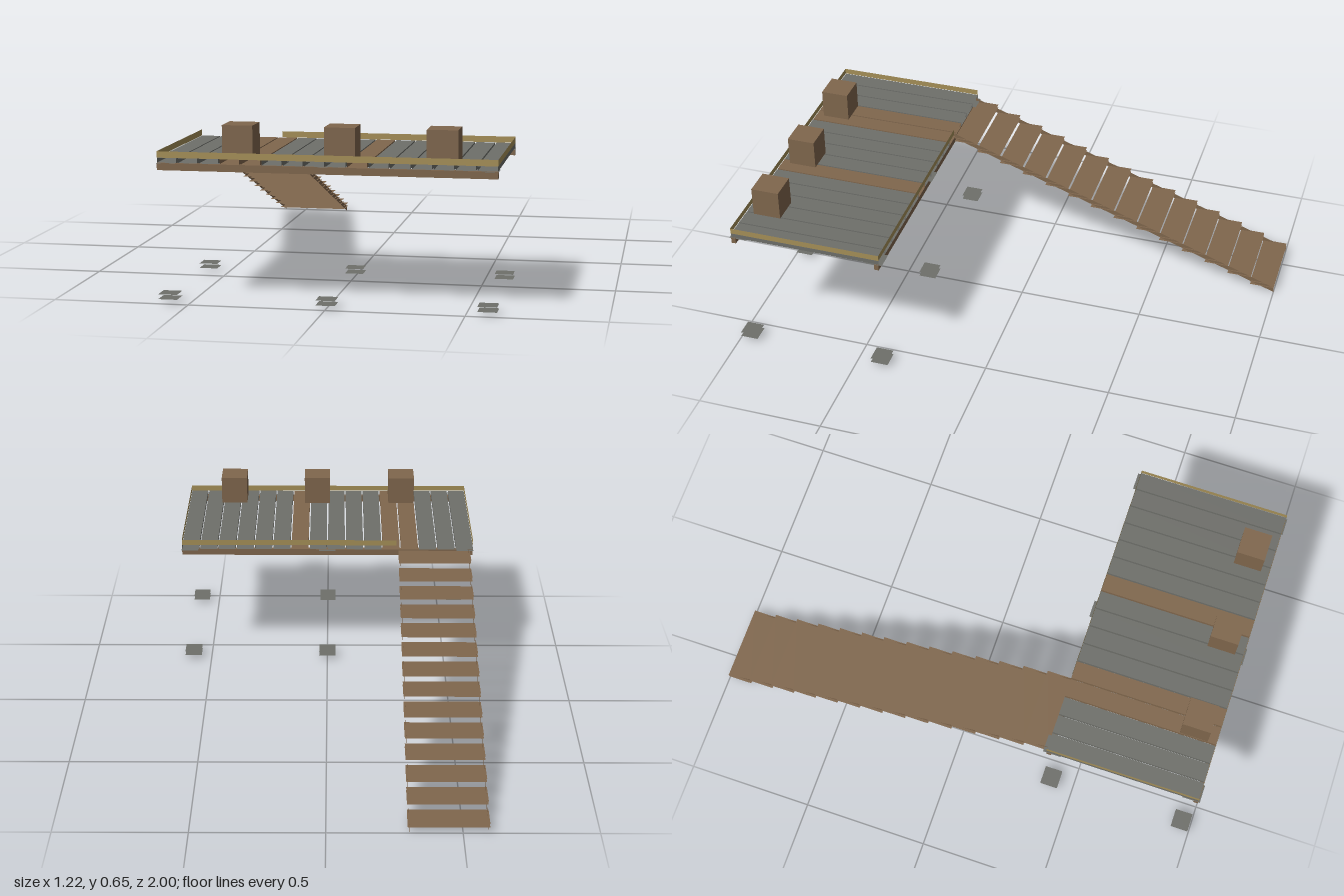
import * as THREE from 'three';

const mat = (name, color) => {
  const m = new THREE.MeshStandardMaterial({ color, side: THREE.DoubleSide });
  m.name = name;
  return m;
};

export function createModel() {
  const root = new THREE.Group();
  root.name = 'raisedDeck';
  const brown = mat('brownWood', 0x80674d);
  const grey = mat('greyWood', 0x6e6f6a);
  const tan = mat('tanWood', 0xa69058);

  const add = (name, geometry, material, x, y, z, parent = root) => {
    const mesh = new THREE.Mesh(geometry, material);
    mesh.name = name;
    mesh.position.set(x, y, z);
    parent.add(mesh);
    return mesh;
  };
  const group = (name) => {
    const g = new THREE.Group();
    g.name = name;
    root.add(g);
    return g;
  };
  // Thin sheets lying flat, facing front, or facing sideways
  const flat = (w, d) => new THREE.PlaneGeometry(w, d).rotateX(-Math.PI / 2);
  const upright = (w, h) => new THREE.PlaneGeometry(w, h);
  const sideways = (d, h) => new THREE.PlaneGeometry(d, h).rotateY(Math.PI / 2);

  // Deck planks: open-ended boards, three of them replaced in brown
  const planks = group('deckPlanks');
  const pitch = 0.0765, plankW = 0.071, zMid = 0.685, depth = 0.605;
  for (let i = 0; i < 16; i++) {
    const x = (i - 7.5) * pitch;
    const m = [3, 4, 9].includes(i) ? brown : grey;
    add('plankTop', flat(plankW, depth), m, x, 0.531, zMid, planks);
    add('plankUnderside', flat(plankW, depth), m, x, 0.514, zMid, planks);
    for (const s of [-1, 1]) {
      add('plankEdge', sideways(depth, 0.017), m, x + s * plankW / 2, 0.5225, zMid, planks);
    }
  }

  // Carrying beams under the front and back edges
  for (const z of [0.98, 0.393]) {
    add('beam', new THREE.BoxGeometry(1.22, 0.026, 0.018), brown, 0, 0.5, z);
  }

  // Edge trim, left open at the back where the stairs arrive
  const trim = group('edgeTrim');
  add('frontTrim', upright(1.22, 0.023), tan, 0, 0.5435, 0.989, trim);
  add('backTrim', upright(0.9, 0.023), tan, 0.16, 0.5435, 0.383, trim);
  for (const s of [-1, 1]) {
    add('sideTrim', sideways(0.606, 0.023), tan, s * 0.61, 0.5435, 0.686, trim);
  }

  // Footing pads and post caps: pairs of thin plates
  for (const x of [-0.577, 0, 0.577]) {
    for (const z of [0.405, 0.96]) {
      for (const y of [0.018, 0.036]) add('footingPad', flat(0.07, 0.07), grey, x, y, z);
      add('postCap', flat(0.07, 0.07), grey, x, 0.512, z);
    }
  }

  // Crates along the front edge
  for (const x of [-0.323, 0.046, 0.411]) {
    add('crate', new THREE.BoxGeometry(0.111, 0.117, 0.111), brown, x, 0.591, 0.899);
  }

  // Stairs: level treads between two sloping stringers
  const stairs = group('stairs');
  const topZ = 0.385, endZ = -1, steps = 14;
  const lineY = (z) => 0.013 + 0.502 * (z - endZ) / (topZ - endZ);
  const run = (topZ - endZ) / steps;
  for (let i = 0; i < steps; i++) {
    const z = topZ - (i + 0.5) * run;
    add('treadTop', flat(0.3, run), brown, -0.448, lineY(z) + 0.01, z, stairs);
    add('treadUnderside', flat(0.3, run), brown, -0.448, lineY(z) - 0.004, z, stairs);
  }
  const band = new THREE.Shape([
    [topZ, lineY(topZ) - 0.011], [topZ, lineY(topZ) + 0.011],
    [endZ, lineY(endZ) + 0.011], [endZ, lineY(endZ) - 0.011],
  ].map(([z, y]) => new THREE.Vector2(-z, y)));
  for (const x of [-0.592, -0.304]) {
    add('stringer', new THREE.ShapeGeometry(band).rotateY(Math.PI / 2), brown, x, 0, 0, stairs);
  }
  return root;
}
